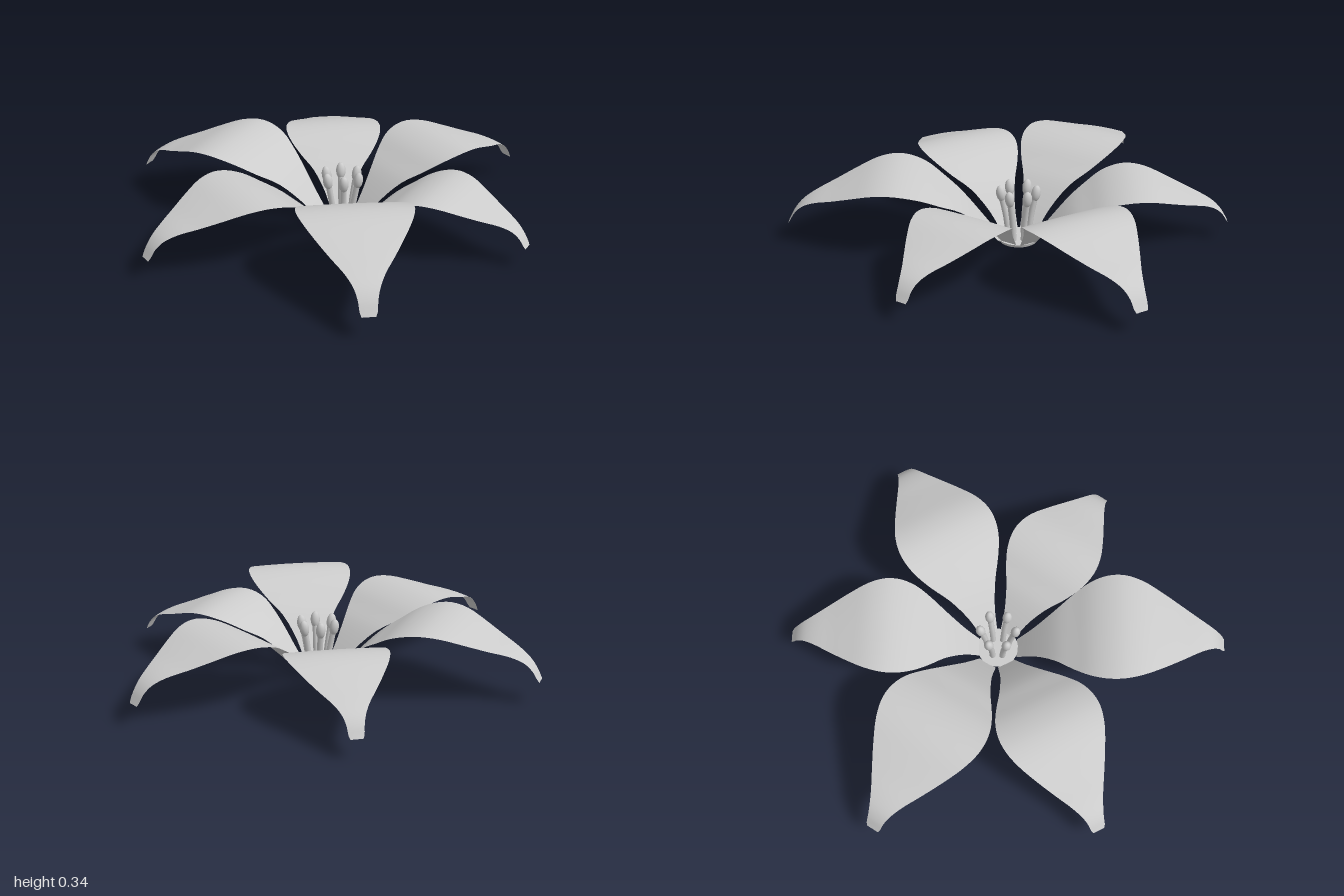
import * as THREE from 'three';

const grey = new THREE.MeshStandardMaterial({ color: 0xcccccc });
const thin = new THREE.MeshStandardMaterial({ color: 0xcccccc, side: THREE.DoubleSide });

// Petal stations from base to tip: distance out, height, half width
const stations = new THREE.CatmullRomCurve3([
  [0.085, 0.008, 0.042], [0.16, 0.1, 0.068], [0.25, 0.194, 0.118], [0.33, 0.25, 0.175],
  [0.4, 0.295, 0.215], [0.47, 0.322, 0.235], [0.54, 0.333, 0.236], [0.62, 0.324, 0.215], [0.71, 0.293, 0.172],
  [0.8, 0.258, 0.122], [0.88, 0.228, 0.076], [0.935, 0.197, 0.05], [0.97, 0.16, 0.038],
  [0.99, 0.125, 0.034], [1.0, 0.107, 0.027],
].map(p => new THREE.Vector3(...p)));

// One petal along +x, scaled by length and arch height
function petalGeometry(length, rise) {
  const rows = 42, cols = 8, pos = [], index = [];
  for (let i = 0; i <= rows; i++) {
    const s = stations.getPoint(i / rows);
    for (let j = 0; j <= cols; j++) {
      const v = (j / cols) * 2 - 1;
      const droop = 0.04 * s.x * s.z * v * v;
      pos.push(s.x * length, s.y * rise - droop, s.z * length * v);
      if (i < rows && j < cols) {
        const a = i * (cols + 1) + j, b = a + cols + 1;
        index.push(a, a + 1, b, a + 1, b + 1, b);
      }
    }
  }
  const g = new THREE.BufferGeometry();
  g.setAttribute('position', new THREE.Float32BufferAttribute(pos, 3));
  g.setIndex(index);
  g.computeVertexNormals();
  return g;
}

// Stamen leaning outward along +x: filament and rounded anther
function makeStamen() {
  const stamen = new THREE.Group();
  const path = new THREE.CatmullRomCurve3([
    new THREE.Vector3(0.045, 0.005, 0), new THREE.Vector3(0.056, 0.11, 0), new THREE.Vector3(0.077, 0.22, 0),
  ]);
  const filament = new THREE.Mesh(new THREE.TubeGeometry(path, 10, 0.014, 8), grey);
  filament.name = 'filament';
  const anther = new THREE.Mesh(new THREE.SphereGeometry(0.022, 12, 10), grey);
  anther.name = 'anther';
  anther.scale.y = 1.8;
  anther.position.set(0.08, 0.232, 0);
  anther.rotation.z = -0.15;
  stamen.add(filament, anther);
  return stamen;
}

export function createModel() {
  const flower = new THREE.Group();
  flower.name = 'flower';
  flower.position.x = 0.042;

  // Flat base disc
  const base = new THREE.Mesh(new THREE.CylinderGeometry(0.096, 0.09, 0.014, 32), grey);
  base.name = 'base';
  base.position.y = 0.007;
  flower.add(base);

  // Six petals in two alternating whorls: angle, length, rise
  [
    [-83.7, 0.998, 0.96], [35.2, 1.055, 1.02], [156.2, 1.05, 1.02],
    [-21.5, 0.905, 0.87], [97.5, 1.0, 0.93], [215.7, 0.965, 0.87],
  ].forEach(([angle, length, rise], i) => {
    const petal = new THREE.Mesh(petalGeometry(length, rise), thin);
    petal.name = (i < 3 ? 'upperPetal' : 'lowerPetal') + (i % 3 + 1);
    petal.rotation.y = -THREE.MathUtils.degToRad(angle);
    flower.add(petal);
  });

  // Ring of stamens
  for (let i = 0; i < 6; i++) {
    const stamen = makeStamen();
    stamen.name = 'stamen' + (i + 1);
    stamen.rotation.y = -THREE.MathUtils.degToRad(-84 + i * 60);
    flower.add(stamen);
  }

  const model = new THREE.Group();
  model.add(flower);
  return model;
}
